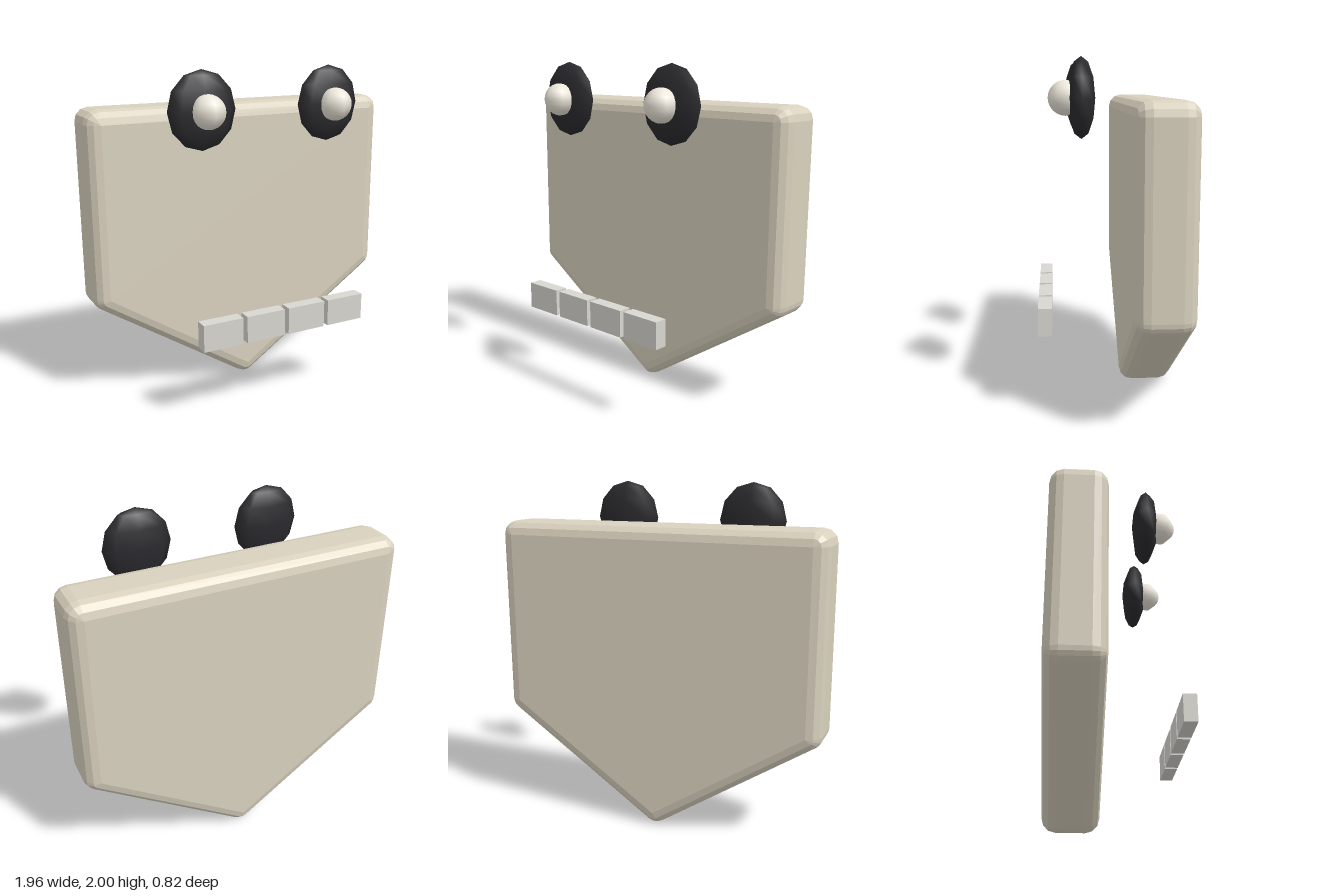
import * as THREE from 'three';
import { ConvexGeometry } from 'three/addons/geometries/ConvexGeometry.js';

const paint = (color, flatShading = false) => new THREE.MeshStandardMaterial({ color, flatShading });

// Five-sided plate whose edges and corners are rounded by radius r in a few flat bands
function roundedPlate(corners, zBack, zFront, r, bands) {
  const points = [];
  const n = corners.length;
  // Outward angle of the side running from corner i to the next (counter-clockwise)
  const sideAngle = (i) => {
    const [ax, ay] = corners[i % n], [bx, by] = corners[(i + 1) % n];
    return Math.atan2(-(bx - ax), by - ay);
  };
  corners.forEach(([x, y], i) => {
    const start = sideAngle(i + n - 1);
    let turn = sideAngle(i) - start;
    if (turn < 0) turn += Math.PI * 2;
    for (let lat = 0; lat <= bands; lat++) {
      const tilt = (lat / bands) * Math.PI / 2;
      const out = r * Math.cos(tilt), deep = r * Math.sin(tilt);
      const steps = lat === bands ? 0 : bands;
      for (let k = 0; k <= steps; k++) {
        const a = start + turn * k / bands;
        const px = x + out * Math.cos(a), py = y + out * Math.sin(a);
        points.push(new THREE.Vector3(px, py, zFront - r + deep));
        points.push(new THREE.Vector3(px, py, zBack + r - deep));
      }
    }
  });
  return new ConvexGeometry(points);
}

export function createModel() {
  const model = new THREE.Group();
  model.name = 'plateFace';
  const add = (name, geometry, material, x = 0, y = 0, z = 0) => {
    const mesh = new THREE.Mesh(geometry, material);
    mesh.name = name;
    mesh.position.set(x, y, z);
    model.add(mesh);
    return mesh;
  };

  // Thick pentagonal body with its point at the bottom
  const corners = [[0, 0.08], [0.9, 0.675], [0.9, 1.697], [-0.9, 1.697], [-0.9, 0.675]];
  add('body', roundedPlate(corners, -0.41, -0.085, 0.08, 3), paint(0xd9d1be, true));

  // Dark flattened eyes with pale pupils
  const eyeGeometry = new THREE.SphereGeometry(1, 8, 6).scale(0.205, 0.222, 0.077);
  const pupilGeometry = new THREE.SphereGeometry(0.096, 6, 12).rotateY(Math.PI / 2);
  const dark = paint(0x2a2a2e), pale = paint(0xece6da);
  for (const [side, s] of [['left', 1], ['right', -1]]) {
    add(side + 'Eye', eyeGeometry, dark, s * 0.408, 1.778, 0.159);
    add(side + 'Pupil', pupilGeometry, pale, s * 0.408, 1.778, 0.244);
  }

  // Row of four teeth
  const toothGeometry = new THREE.BoxGeometry(0.246, 0.16, 0.077);
  const toothPaint = paint(0xd8d6d0);
  for (let i = 0; i < 4; i++) {
    add('tooth' + (i + 1), toothGeometry, toothPaint, (i - 1.5) * 0.273 - 0.002, 0.551, 0.371);
  }

  return model;
}
